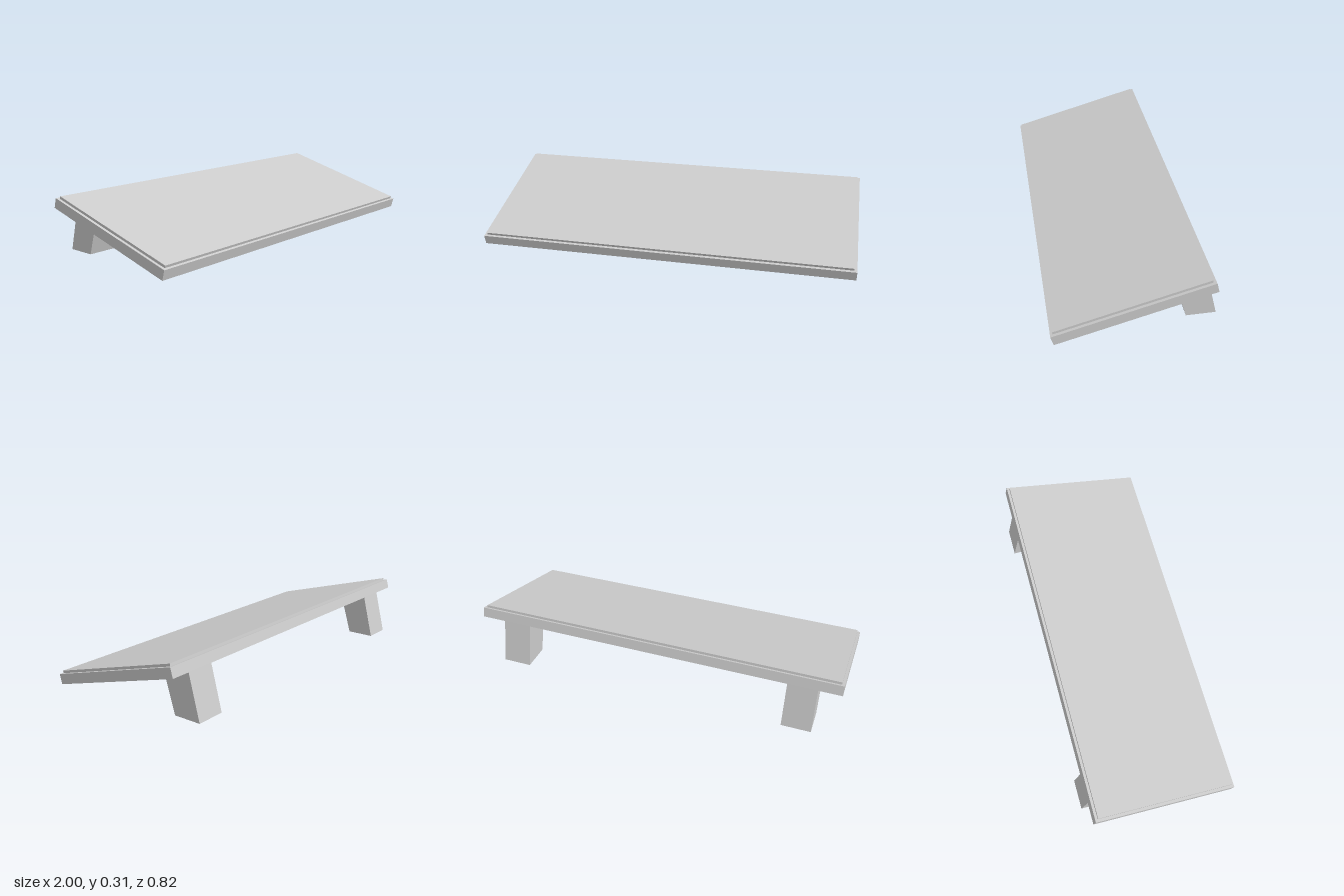
import * as THREE from 'three';

const material = new THREE.MeshStandardMaterial({ color: 0xcccccc, flatShading: true });

// Prism with a side profile of [z, y] points, running along x and centred on xCentre
function prism(name, profile, width, xCentre = 0) {
  const shape = new THREE.Shape(profile.map(([z, y]) => new THREE.Vector2(z, y)));
  const geometry = new THREE.ExtrudeGeometry(shape, { depth: width, bevelEnabled: false });
  geometry.translate(0, 0, -width / 2).rotateY(-Math.PI / 2);
  const mesh = new THREE.Mesh(geometry, material);
  mesh.name = name;
  mesh.position.x = xCentre;
  return mesh;
}

export function createModel() {
  const model = new THREE.Group();
  model.name = 'slopedPanel';

  // Tilted base board
  model.add(prism('baseBoard',
    [[0.412, 0.082], [0.398, 0.031], [-0.371, 0.246], [-0.357, 0.297]], 2));

  // Thin panel inset on top of the board
  model.add(prism('topPanel',
    [[0.403, 0.098], [0.398, 0.083], [-0.344, 0.291], [-0.341, 0.306]], 1.97));

  // Two tapered rear legs
  const legProfile = [[-0.2, 0.199], [-0.26, 0], [-0.411, 0], [-0.35, 0.242]];
  for (const [name, side] of [['leftLeg', 1], ['rightLeg', -1]]) {
    model.add(prism(name, legProfile, 0.156, side * 0.8));
  }
  return model;
}
